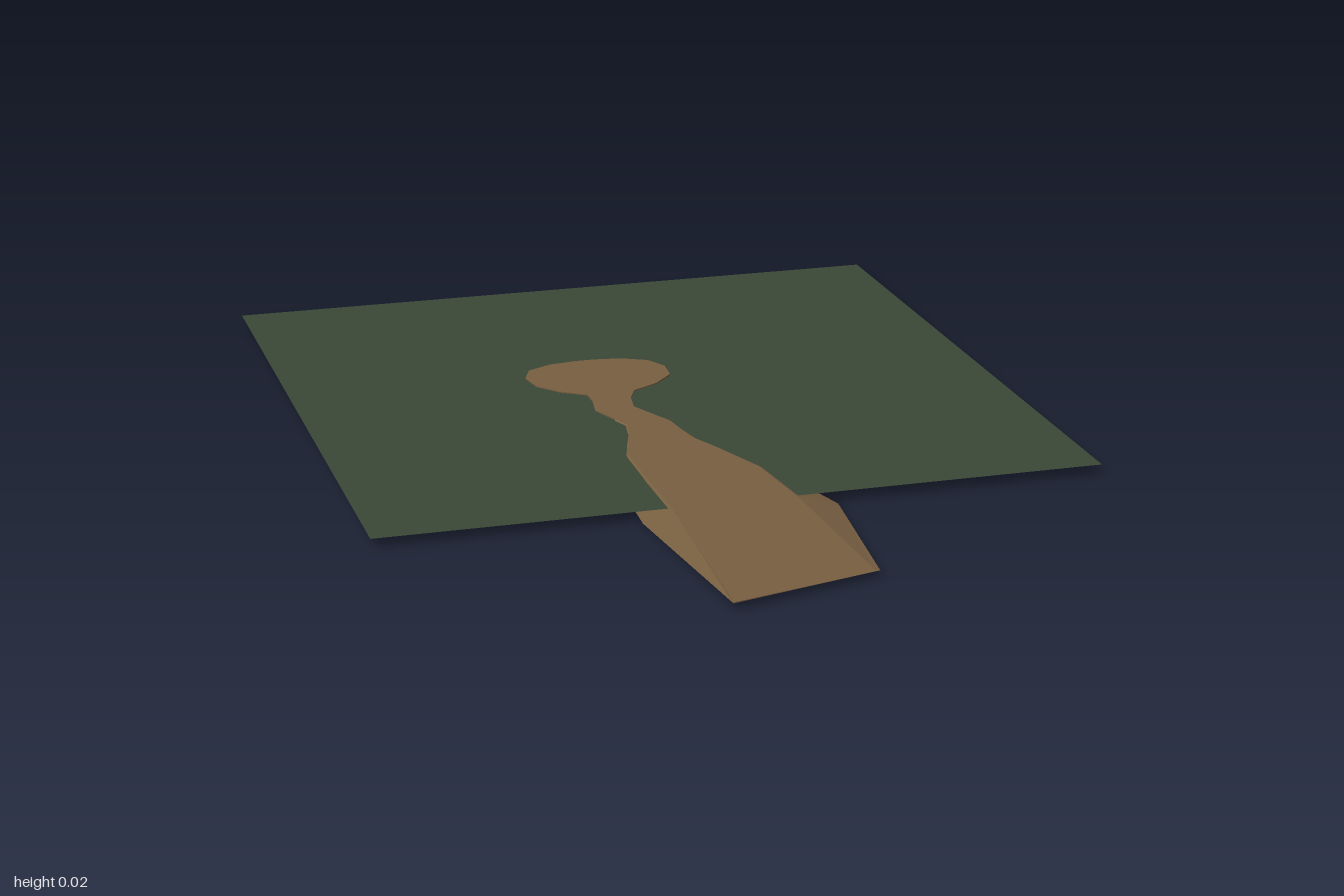
import * as THREE from 'three';

const GROUND_Y = 0.022;

// Cross-sections from the clearing to the path mouth:
// [z, top left x, top right x, bottom left x, bottom right x, top y, bottom y]
const SECTIONS = [
  [-0.45, -0.10, -0.06, -0.10, -0.06, 0.0235, 0.0205],
  [-0.44, -0.16, 0.0, -0.16, 0.0, 0.024, 0.020],
  [-0.41, -0.215, 0.055, -0.215, 0.055, 0.0245, 0.0195],
  [-0.36, -0.235, 0.08, -0.235, 0.08, 0.0245, 0.0195],
  [-0.30, -0.225, 0.075, -0.225, 0.075, 0.0245, 0.0195],
  [-0.25, -0.185, 0.03, -0.185, 0.03, 0.0245, 0.0195],
  [-0.215, -0.135, -0.03, -0.135, -0.03, 0.0245, 0.0195],
  [-0.17, -0.135, -0.05, -0.135, -0.05, 0.0245, 0.0195],
  [-0.11, -0.145, -0.06, -0.145, -0.06, 0.0245, 0.0195],
  [-0.04, -0.12, -0.03, -0.12, -0.03, 0.0245, 0.018],
  [0.0, -0.105, -0.012, -0.14, -0.015, 0.0245, 0.0],
  [0.06, -0.115, -0.005, -0.155, 0.02, 0.0245, 0.0],
  [0.12, -0.135, 0.005, -0.175, 0.05, 0.0245, 0.0],
  [0.18, -0.153, 0.03, -0.19, 0.08, 0.0245, 0.0],
  [0.32, -0.155, 0.08, -0.205, 0.135, 0.0245, 0.0],
  [0.51, -0.155, 0.10, -0.215, 0.185, 0.0245, 0.0],
  [0.95, -0.18, 0.12, -0.18, 0.13, 0.018, 0.016],
];

function pathGeometry() {
  const positions = [];
  const index = [];
  SECTIONS.forEach(([z, tl, tr, bl, br, top, bottom], i) => {
    // The mouth of the path is cut at a slant
    const skew = i === SECTIONS.length - 1 ? 0.04 : 0;
    positions.push(
      tl, top, z + skew, tr, top, z - skew,
      br, bottom, z - skew, bl, bottom, z + skew,
    );
    if (i === 0) return;
    for (let k = 0; k < 4; k++) {
      const a = (i - 1) * 4 + k, b = (i - 1) * 4 + (k + 1) % 4;
      index.push(a, a + 4, b, b, a + 4, b + 4);
    }
  });
  // End caps
  const e = (SECTIONS.length - 1) * 4;
  index.push(0, 1, 2, 0, 2, 3, e, e + 2, e + 1, e, e + 3, e + 2);
  const geometry = new THREE.BufferGeometry();
  geometry.setAttribute('position', new THREE.Float32BufferAttribute(positions, 3));
  geometry.setIndex(index);
  const flat = geometry.toNonIndexed();
  flat.computeVertexNormals();
  return flat;
}

export function createModel() {
  const group = new THREE.Group();
  group.name = 'groundWithPath';

  // Thin square of grass
  const ground = new THREE.Mesh(
    new THREE.PlaneGeometry(1.5, 1.5).rotateX(-Math.PI / 2),
    new THREE.MeshStandardMaterial({ color: 0x3a4837, side: THREE.DoubleSide }),
  );
  ground.name = 'ground';
  ground.position.set(0, GROUND_Y, -0.25);
  group.add(ground);

  // Dirt path that widens from the round clearing and runs past the front edge
  const path = new THREE.Mesh(
    pathGeometry(),
    new THREE.MeshStandardMaterial({ color: 0x785f41, side: THREE.DoubleSide, flatShading: true }),
  );
  path.name = 'dirtPath';
  group.add(path);

  return group;
}
